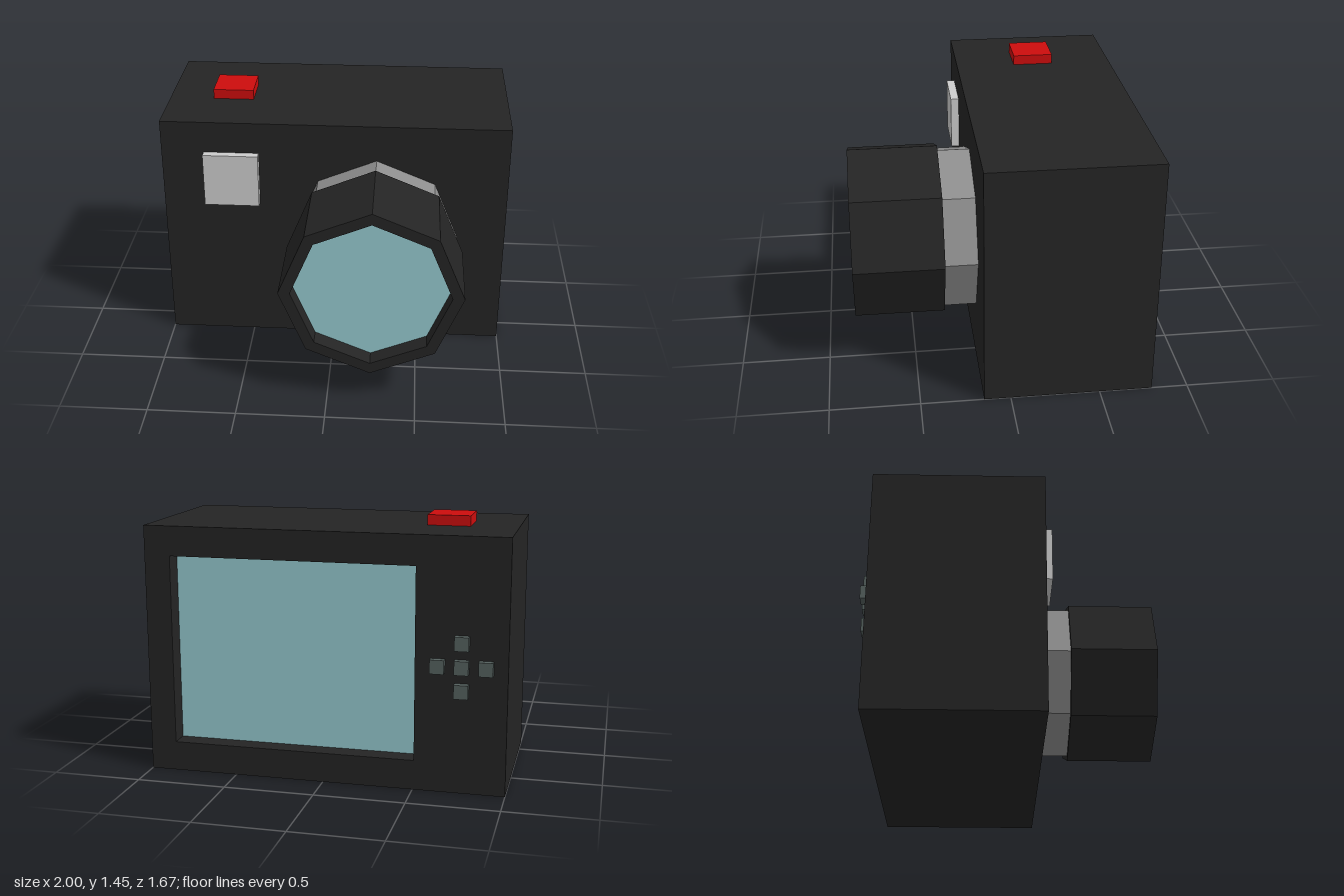
import * as THREE from 'three';

const material = (name, color, extra = {}) => {
  const m = new THREE.MeshStandardMaterial({ color, ...extra });
  m.name = name;
  return m;
};

// Octagon outline with corners on the axes
const octagon = (r) =>
  Array.from({ length: 8 }, (_, i) => {
    const a = (i * Math.PI) / 4;
    return new THREE.Vector2(r * Math.cos(a), r * Math.sin(a));
  });

const rectangle = (x0, x1, y0, y1) => [
  new THREE.Vector2(x0, y0), new THREE.Vector2(x1, y0),
  new THREE.Vector2(x1, y1), new THREE.Vector2(x0, y1),
];

// Prism along z, optionally with a hole through it
function prism(outline, hole, z0, z1) {
  const shape = new THREE.Shape(outline);
  if (hole) shape.holes.push(new THREE.Path(hole));
  return new THREE.ExtrudeGeometry(shape, { depth: z1 - z0, bevelEnabled: false }).translate(0, 0, z0);
}

// Box given by its limits on each axis
const block = (x0, x1, y0, y1, z0, z1) =>
  new THREE.BoxGeometry(x1 - x0, y1 - y0, z1 - z0)
    .translate((x0 + x1) / 2, (y0 + y1) / 2, (z0 + z1) / 2);

export function createModel() {
  const black = material('black', 0x242424);
  const grey = material('grey', 0x8e8e8e);
  const silver = material('silver', 0xcccccc);
  const red = material('red', 0xcc0d0d);
  const glass = material('glass', 0x95c9ce);
  const slate = material('slate', 0x55615f);

  const model = new THREE.Group();
  model.name = 'camera';
  const add = (name, geometry, mat, parent = model) => {
    const mesh = new THREE.Mesh(geometry, mat);
    mesh.name = name;
    parent.add(mesh);
    return mesh;
  };

  // Body, with a frame at the back around the recessed screen
  const back = -0.797, front = 0.148, height = 1.39, recess = back + 0.11;
  const opening = [-0.506, 0.855, 0.165, 1.225];
  add('body', block(-1, 1, 0, height, recess, front), black);
  add('screenFrame', prism(rectangle(-1, 1, 0, height), rectangle(...opening), back, recess), black);
  add('screen', block(...opening, recess - 0.004, recess + 0.004), glass);

  // Lens: grey collar, hollow barrel and recessed glass
  const lens = new THREE.Group();
  lens.name = 'lens';
  lens.position.set(0.242, 0.7, 0);
  model.add(lens);
  add('lensCollar', prism(octagon(0.478), null, front, 0.332), grey, lens);
  add('lensBarrel', prism(octagon(0.507), octagon(0.441), 0.33, 0.835), black, lens);
  add('lensGlass', new THREE.CircleGeometry(0.441, 8).translate(0, 0, 0.735), glass, lens);

  // Flash and shutter button
  add('flash', block(-0.755, -0.437, 0.888, 1.205, front, 0.196), silver);
  add('shutterButton', block(-0.74, -0.503, height, 1.447, -0.438, -0.202), red);

  // Cross of control buttons on the back
  const pad = new THREE.Group();
  pad.name = 'controlPad';
  pad.position.set(-0.757, 0.7, 0);
  model.add(pad);
  for (const [i, j] of [[0, 0], [1, 0], [-1, 0], [0, 1], [0, -1]]) {
    const button = add('controlButton', block(-0.038, 0.038, -0.038, 0.038, -0.835, back), slate, pad);
    button.position.set(i * 0.129, j * 0.129, 0);
  }

  return model;
}
